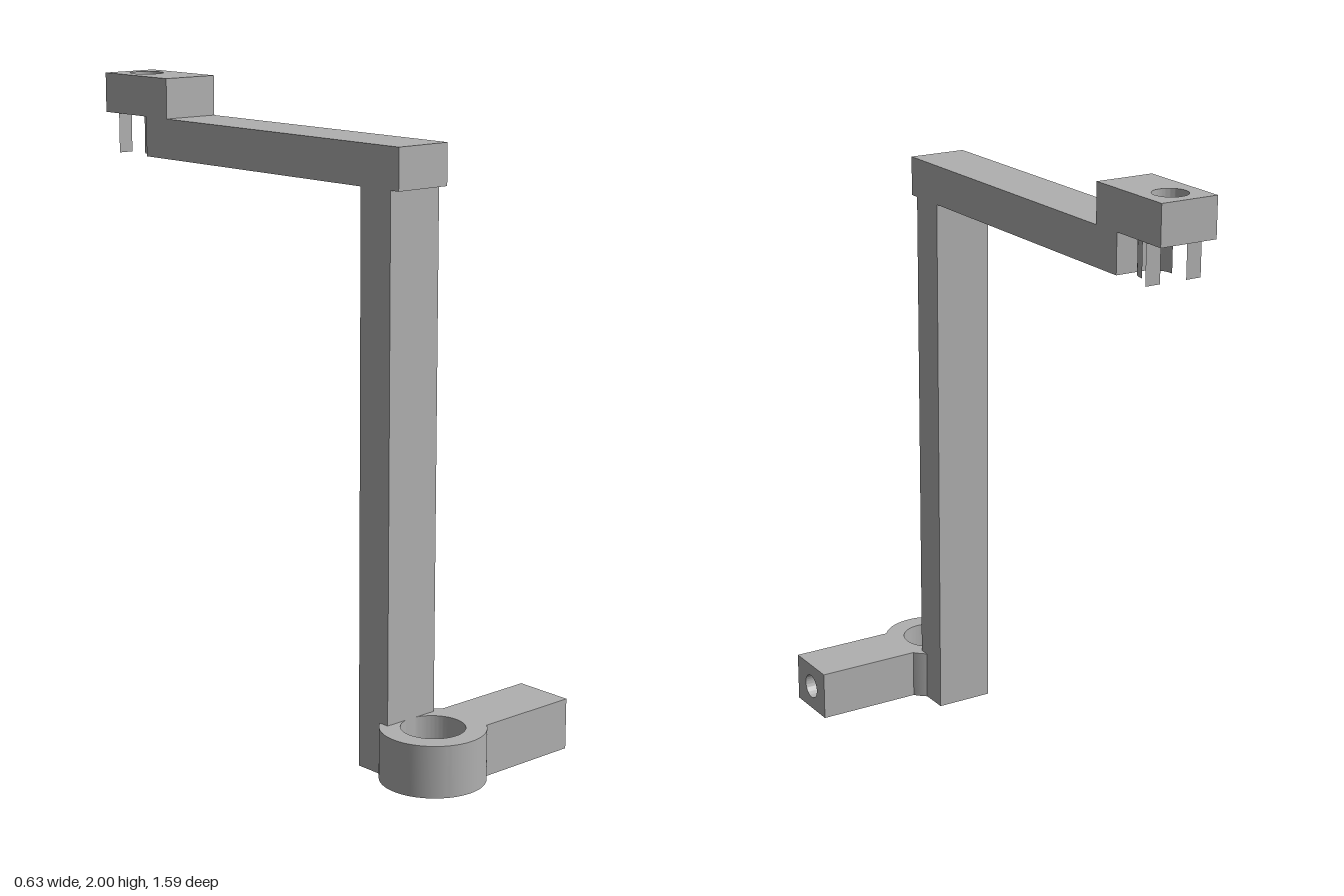
import * as THREE from 'three';
import { toCreasedNormals } from 'three/addons/utils/BufferGeometryUtils.js';

const CX = -0.16;      // centre line of post, beam and both bores
const HALF = 0.095;    // half width of the bars

export function createModel() {
  const group = new THREE.Group();
  const grey = new THREE.MeshStandardMaterial({ color: 0xb0b0b0 });
  grey.name = 'plain grey';
  grey.side = THREE.DoubleSide;

  const add = (name, geometry) => {
    const mesh = new THREE.Mesh(geometry, grey);
    mesh.name = name;
    group.add(mesh);
    return mesh;
  };
  const bar = (name, y0, y1, z0, z1) => {
    const g = new THREE.BoxGeometry(2 * HALF, y1 - y0, z1 - z0);
    g.translate(CX, (y0 + y1) / 2, (z0 + z1) / 2);
    return add(name, g);
  };
  const rectangle = (x0, y0, x1, y1) => new THREE.Shape([
    new THREE.Vector2(x0, y0), new THREE.Vector2(x1, y0),
    new THREE.Vector2(x1, y1), new THREE.Vector2(x0, y1)]);
  const drill = (shape, x, y, r) => {
    shape.holes.push(new THREE.Path().absarc(x, y, r, 0, Math.PI * 2, true));
    return shape;
  };
  const extrude = (shape, depth) => toCreasedNormals(
    new THREE.ExtrudeGeometry(shape, { depth, bevelEnabled: false, curveSegments: 48 }), 0.5);

  // Upright post and horizontal beam
  bar('post', 0, 1.75, 0.415, 0.54);
  bar('beam', 1.75, 1.875, -0.585, 0.573);

  // Drilled block on the end of the beam
  const block = extrude(drill(rectangle(CX - HALF, 0.48, CX + HALF, 0.795), CX, 0.703, 0.053), 0.125);
  block.rotateX(-Math.PI / 2).translate(0, 1.875, 0);
  add('endBlock', block);

  // Curved wall and two thin tabs under the block
  const wall = new THREE.CylinderGeometry(1, 1, 0.125, 32, 1, true, -Math.PI / 2, Math.PI);
  wall.scale(0.052, 1, 0.065).translate(CX, 1.8125, -0.65);
  add('curvedWall', wall);
  for (const side of [-1, 1]) {
    const tab = new THREE.PlaneGeometry(0.05, 0.125);
    tab.translate(CX + side * 0.07, 1.8125, -0.727);
    add(side > 0 ? 'leftTab' : 'rightTab', tab);
  }

  // Base ring
  const disc = new THREE.Shape().absarc(CX, -0.635, 0.16, 0, Math.PI * 2, false);
  const ring = extrude(drill(disc, CX, -0.635, 0.097), 0.16);
  ring.rotateX(-Math.PI / 2);
  add('baseRing', ring);

  // Side arm with a hole drilled along its length
  const arm = extrude(drill(rectangle(-0.73, 0, -0.54, 0.16), -0.635, 0.08, 0.04), 0.346);
  arm.rotateY(Math.PI / 2).translate(-0.031, 0, 0);
  add('baseArm', arm);

  return group;
}
